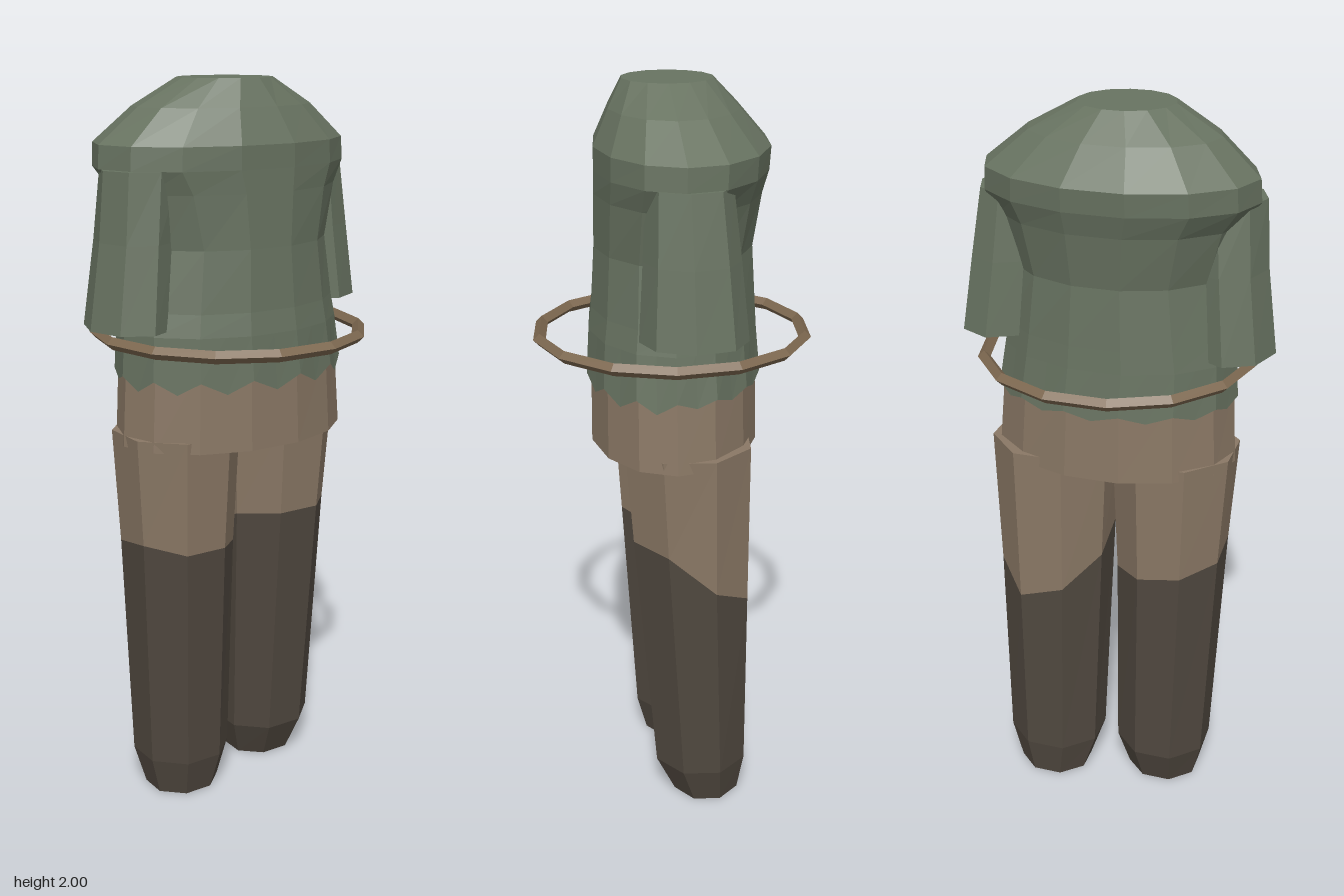
import * as THREE from 'three';

const mat = (color) => new THREE.MeshStandardMaterial({ color, flatShading: true, side: THREE.DoubleSide });
const green = mat(0x687361), tan = mat(0x8a7865), dark = mat(0x50483f), leather = mat(0x7d6850);

// Skin a stack of n-sided elliptical rings, bottom to top.
// ring = [y or f(k), cx, cz, rx, rz]; sub splits each side of the polygon.
function loft(name, material, n, rings, { turn = 0, sub = 1, bottom = false, top = false } = {}) {
  const count = n * sub, pos = [], index = [];
  const corner = (k, [, cx, cz, rx, rz]) => {
    const a = (k / n) * Math.PI * 2 + turn;
    return [cx + rx * Math.cos(a), cz + rz * Math.sin(a)];
  };
  for (const ring of rings) {
    for (let k = 0; k < count; k++) {
      const side = Math.floor(k / sub), t = (k % sub) / sub;
      const a = corner(side, ring), b = corner(side + 1, ring);
      const y = typeof ring[0] === 'function' ? ring[0](k) : ring[0];
      pos.push(a[0] + (b[0] - a[0]) * t, y, a[1] + (b[1] - a[1]) * t);
    }
  }
  for (let r = 0; r < rings.length - 1; r++) {
    for (let k = 0; k < count; k++) {
      const a = r * count + k, a1 = r * count + (k + 1) % count;
      index.push(a, a + count, a1, a1, a + count, a1 + count);
    }
  }
  const last = (rings.length - 1) * count;
  for (let k = 1; k < count - 1; k++) {
    if (bottom) index.push(0, k, k + 1);
    if (top) index.push(last, last + k + 1, last + k);
  }
  const geo = new THREE.BufferGeometry();
  geo.setAttribute('position', new THREE.Float32BufferAttribute(pos, 3));
  geo.setIndex(index);
  geo.computeVertexNormals();
  const mesh = new THREE.Mesh(geo, material);
  mesh.name = name;
  return mesh;
}

// One leg: dark boot below, trouser above, sharing an uneven seam.
// sizes = [cx, cz, half width, half depth] at sole, ankle, seam and top
function makeLeg(name, sizes, seam) {
  const leg = new THREE.Group();
  leg.name = name;
  const flat = Math.cos(Math.PI / 8);
  const heights = [0, 0.11, (k) => seam[k], 1.08];
  const rings = sizes.map(([cx, cz, w, d], i) => [heights[i], cx, cz, w / flat, d / flat]);
  const turn = Math.PI / 8;
  leg.add(
    loft(name + 'Boot', dark, 8, rings.slice(0, 3), { turn, bottom: true }),
    loft(name + 'Trouser', tan, 8, rings.slice(2), { turn, top: true }),
  );
  return leg;
}

export function createModel() {
  const model = new THREE.Group();
  model.name = 'clothedBody';

  // Legs; seam heights run from the left-front corner round the front to the back
  model.add(
    makeLeg('leftLeg', [
      [0.174, -0.092, 0.098, 0.09],
      [0.172, -0.075, 0.132, 0.125],
      [0.17, -0.045, 0.15, 0.155],
      [0.172, -0.035, 0.164, 0.165],
    ], [0.8, 0.81, 0.81, 0.8, 0.75, 0.67, 0.63, 0.69]),
    makeLeg('rightLeg', [
      [-0.148, -0.02, 0.098, 0.092],
      [-0.146, -0.025, 0.128, 0.125],
      [-0.16, -0.01, 0.145, 0.15],
      [-0.163, -0.005, 0.162, 0.165],
    ], [0.74, 0.76, 0.76, 0.78, 0.76, 0.74, 0.72, 0.7]),
  );

  // Waist band of the trousers
  model.add(loft('waistBand', tan, 14, [
    [1.05, 0.01, -0.004, 0.338, 0.228],
    [1.28, 0.005, -0.002, 0.322, 0.224],
  ]));

  // Shirt with a hem that is ragged in front and smoother behind
  const hem = (k) => (k % 2 ? (k < 14 ? 1.21 : 1.225) : 1.243);
  model.add(loft('shirtHem', green, 14, [
    [hem, 0.007, -0.002, 0.335, 0.237],
    [1.36, 0, 0, 0.322, 0.228],
  ], { sub: 2 }));
  model.add(loft('shirt', green, 14, [
    [1.36, 0, 0, 0.322, 0.228],
    [1.42, 0, -0.002, 0.31, 0.222],
    [1.58, 0, -0.002, 0.285, 0.212],
    [1.72, -0.003, -0.014, 0.325, 0.222],
    [1.78, -0.008, -0.023, 0.366, 0.23],
    [1.84, -0.008, -0.025, 0.362, 0.232],
    [1.93, -0.012, -0.006, 0.255, 0.172],
    [2, -0.015, 0.01, 0.128, 0.12],
  ], { top: true }));

  // Wide short sleeves
  for (const [name, s, cz, end] of [['leftSleeve', 1, -0.045, 1.4], ['rightSleeve', -1, 0.005, 1.375]]) {
    model.add(loft(name, green, 8, [
      [end, s * 0.312, cz, 0.111, 0.138],
      [1.6, s * 0.292, cz + 0.005, 0.102, 0.122],
      [1.78, s * 0.277, cz + 0.012, s > 0 ? 0.088 : 0.105, 0.108],
    ], { top: true }));
  }

  // Loose belt hoop
  const belt = new THREE.Mesh(new THREE.TorusGeometry(0.361, 0.017, 4, 14), leather);
  belt.name = 'beltHoop';
  belt.rotation.x = -Math.PI / 2;
  belt.position.set(0.004, 1.335, 0);
  model.add(belt);

  return model;
}
